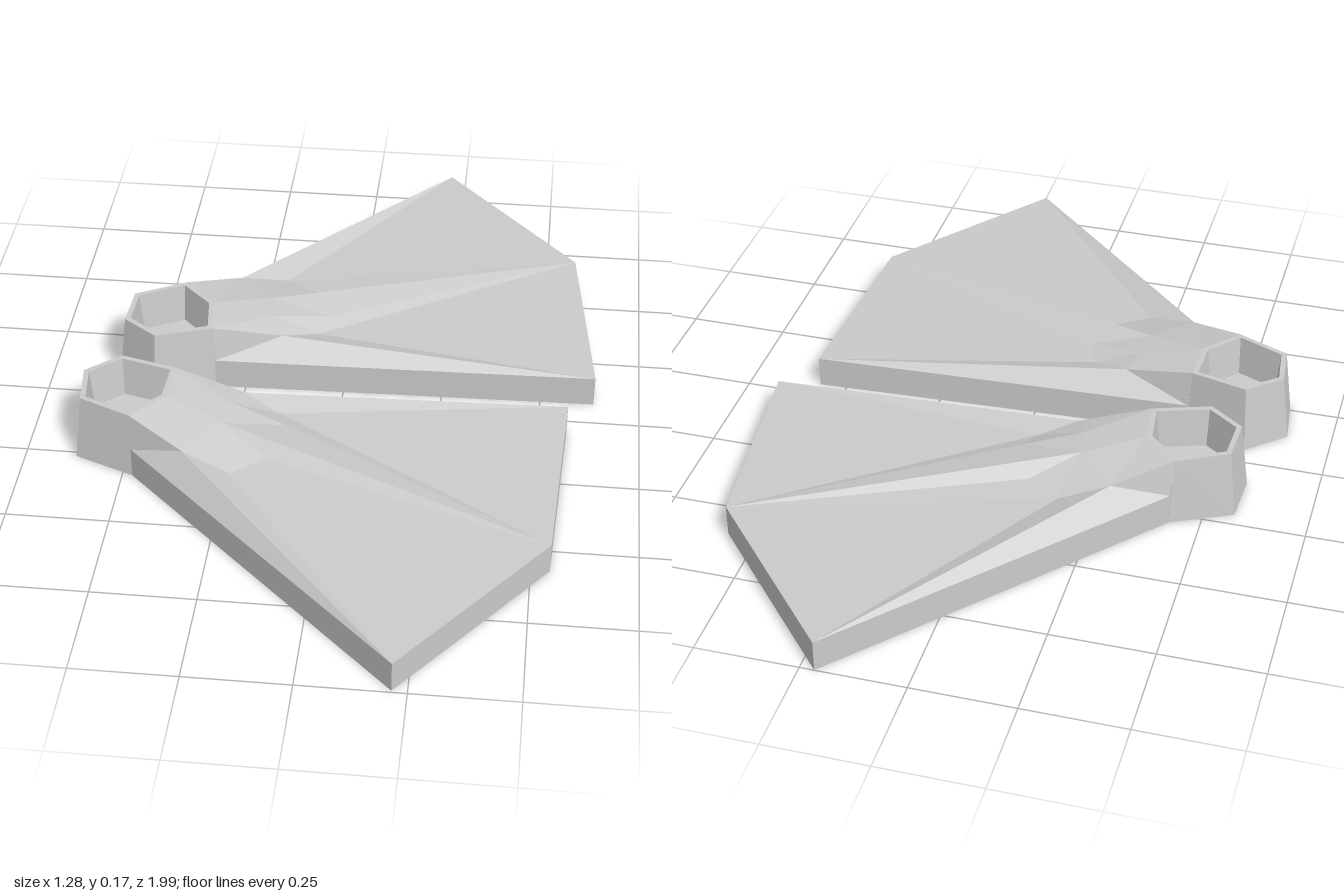
import * as THREE from 'three';

const material = new THREE.MeshStandardMaterial({ color: 0xcccccc, flatShading: true });
const EDGE = 0.08, RIM = 0.17; // blade thickness at the edge, ankle height

// Blade corners and ankle corners in plan: [x, z]
const P1 = [0.215, 0.995], P2 = [0.545, 0.57], P3 = [0.57, 0.045];
const H = [-0.39, 0.09], A0 = [-0.545, 0.05], A1 = [-0.64, 0.135];
const A2 = [-0.625, 0.265], A3 = [-0.475, 0.325];
const outline = [P1, P2, P3, H, A0, A1, A2, A3];
// Ankle rim, in the same turning direction as the outline
const rimPlan = [[-0.395, 0.105], [-0.538, 0.068], [-0.62, 0.138], [-0.607, 0.252], [-0.478, 0.308], [-0.4, 0.22]];
const CENTRE = [-0.508, 0.185];

const at = ([x, z], y) => new THREE.Vector3(x, y, z);
const shrink = (ring, s, y) => ring.map(([x, z]) =>
  at([CENTRE[0] + (x - CENTRE[0]) * s, CENTRE[1] + (z - CENTRE[1]) * s], y));

// Collects triangles, and can place them mirrored for the other foot
class Facets {
  constructor() { this.tris = []; }
  tri(a, b, c) { this.tris.push([a, b, c]); }
  quad(a, b, c, d) { this.tri(a, b, c); this.tri(a, c, d); }
  // Triangle turned to face up (or down when sign is -1)
  flat(a, b, c, sign = 1) {
    const ny = (b.z - a.z) * (c.x - a.x) - (b.x - a.x) * (c.z - a.z);
    if (ny * sign > 0) this.tri(a, b, c); else this.tri(a, c, b);
  }
  strip(low, high, closed = false) {
    const n = low.length;
    for (let i = 0; i < (closed ? n : n - 1); i++) {
      const j = (i + 1) % n;
      this.quad(low[i], low[j], high[j], high[i]);
    }
  }
  mesh(name, place, mirrored) {
    const points = this.tris.flatMap(([a, b, c]) => (mirrored ? [a, c, b] : [a, b, c]).map(place));
    const geometry = new THREE.BufferGeometry().setFromPoints(points);
    geometry.computeVertexNormals();
    const mesh = new THREE.Mesh(geometry, material);
    mesh.name = name;
    return mesh;
  }
}

// Webbed blade: edge walls, sole, and three toe ridges with webs between
function bladeFacets() {
  const f = new Facets();
  const edge = [A3, P1, P2, P3, H];
  f.strip(edge.map(p => at(p, 0)), edge.map(p => at(p, EDGE)));

  const plan = outline.map(p => new THREE.Vector2(...p));
  for (const t of THREE.ShapeUtils.triangulateShape(plan, [])) {
    f.flat(...t.map(i => at(outline[i], 0)), -1);
  }

  const tip1 = at(P1, EDGE), tip2 = at(P2, EDGE), tip3 = at(P3, EDGE);
  const heelIn = at(H, EDGE), heelOut = at(A3, EDGE);
  const rimIn = at(rimPlan[0], RIM), rimOut = at(rimPlan[4], RIM), rimMid = at(rimPlan[5], RIM);
  // Knuckles on the crests
  const k1 = at([-0.34, 0.385], 0.135), k3 = at([-0.22, 0.135], 0.13);
  const m1 = at([-0.245, 0.2], 0.145), m2 = at([-0.255, 0.28], 0.145);
  // Feet of the ridges, where the webs begin
  const v1 = at([-0.22, 0.42], 0.105), v2 = at([-0.14, 0.36], 0.108);
  const v3 = at([-0.105, 0.24], 0.118), v4 = at([-0.13, 0.18], 0.106);
  const top = [
    // instep around the ankle
    [rimIn, heelIn, k3], [rimIn, k3, m1], [rimIn, m1, rimMid], [rimMid, m1, m2],
    [rimMid, m2, k1], [rimMid, k1, rimOut], [rimOut, k1, heelOut],
    // inner toe, middle toe, outer toe
    [heelIn, tip3, k3], [k3, tip3, v4], [k3, v4, m1],
    [m1, v4, v3], [m1, v3, m2], [m2, v3, tip2], [m2, tip2, v2],
    [m2, v2, v1], [m2, v1, k1], [k1, v1, tip1], [k1, tip1, heelOut],
    // webs
    [v4, tip3, tip2], [v4, tip2, v3], [v2, tip2, v1], [v1, tip2, tip1],
  ];
  top.forEach(t => f.flat(...t));
  return f;
}

// Hollow ankle cup with a flared foot, thin rim and sunken floor
function ankleFacets() {
  const f = new Facets();
  const rim = rimPlan.map(p => at(p, RIM));
  f.strip([H, A0, A1, A2, A3].map(p => at(p, 0)), rim.slice(0, 5));
  const lip = shrink(rimPlan, 0.88, RIM), floor = shrink(rimPlan, 0.78, 0.07);
  f.strip(rim, lip, true);
  f.strip(lip, floor, true);
  for (let i = 1; i < floor.length - 1; i++) f.flat(floor[0], floor[i], floor[i + 1]);
  return f;
}

export function createModel() {
  const model = new THREE.Group();
  model.name = 'webbedFeet';
  const turn = THREE.MathUtils.degToRad(4), c = Math.cos(turn), s = Math.sin(turn);
  const places = {
    frontFoot: p => p.clone(),
    // Mirrored across z and turned slightly
    backFoot: p => new THREE.Vector3(c * p.x - s * p.z + 0.07, p.y, -(s * p.x + c * p.z - 0.008)),
  };
  for (const [name, place] of Object.entries(places)) {
    const foot = new THREE.Group();
    foot.name = name;
    const mirrored = name === 'backFoot';
    foot.add(bladeFacets().mesh('webbedBlade', place, mirrored));
    foot.add(ankleFacets().mesh('ankleCup', place, mirrored));
    model.add(foot);
  }
  return model;
}
